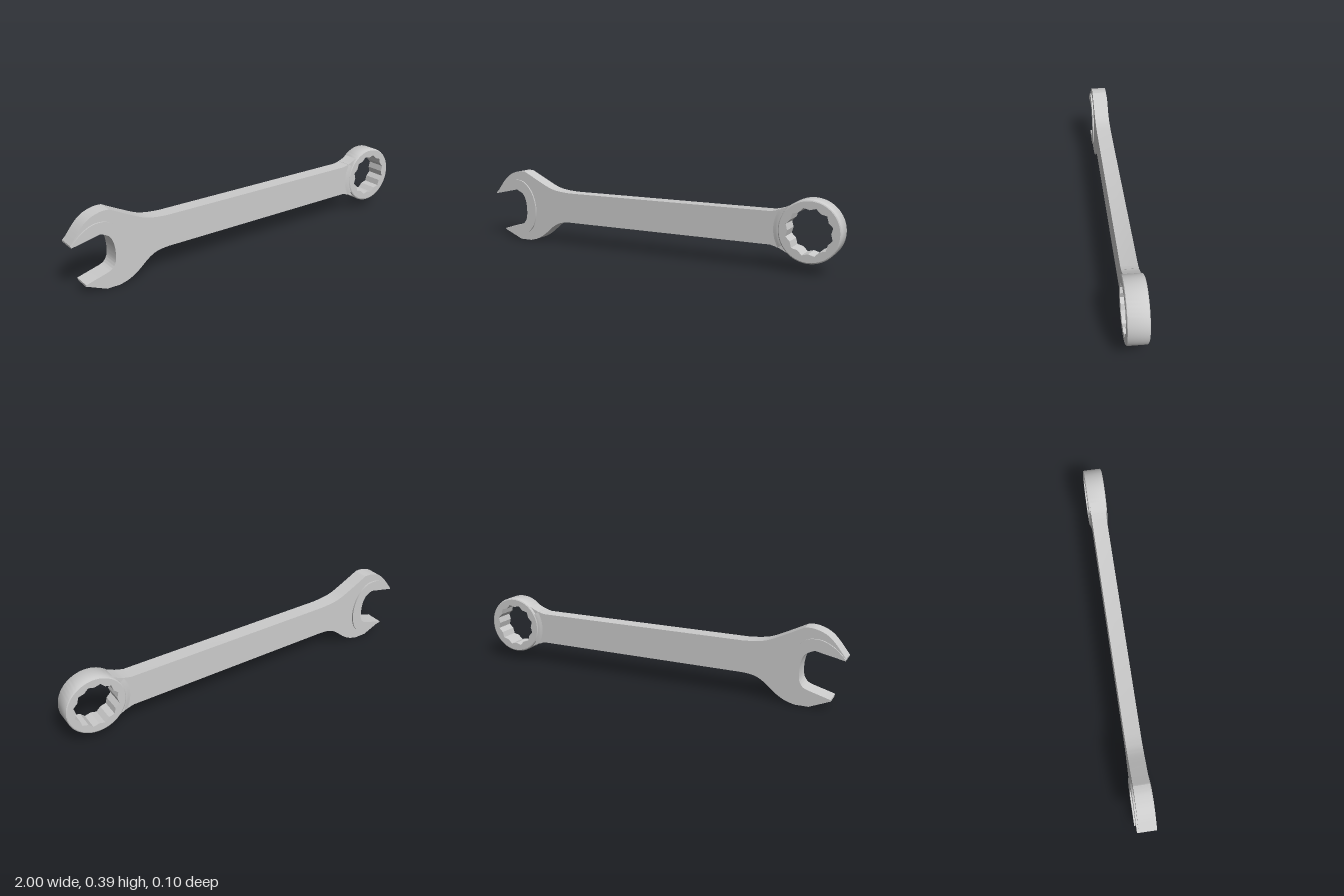
import * as THREE from 'three';
import { toCreasedNormals } from 'three/addons/utils/BufferGeometryUtils.js';

const MID = 0.205;               // height of the long axis
const RING = { x: 0.845, y: MID };
const material = new THREE.MeshStandardMaterial({ color: 0xcccccc, side: THREE.DoubleSide });
const pts = (list) => list.map(([x, y]) => new THREE.Vector2(x, y));

function addMesh(group, name, geometry, crease = 0.45) {
  const mesh = new THREE.Mesh(toCreasedNormals(geometry, crease), material);
  mesh.name = name;
  group.add(mesh);
  return mesh;
}

// Flat plate centred on z = 0
function plate(shape, half) {
  const g = new THREE.ExtrudeGeometry(shape, { depth: half * 2, bevelEnabled: false, curveSegments: 6 });
  return g.translate(0, 0, -half);
}

// Jaw opening, from the lower tip round to the upper tip
function addMouth(shape) {
  shape.lineTo(-0.83, 0.087);
  shape.splineThru(pts([[-0.807, 0.1], [-0.79, 0.13], [-0.787, 0.18], [-0.795, 0.23], [-0.815, 0.265], [-0.855, 0.286]]));
  shape.lineTo(-1, 0.255);
}

// Sweeps a closed (radius, z) profile about z; radius may depend on the angle
function sweep(profile, from, to, steps) {
  const position = [], index = [], n = profile.length;
  for (let i = 0; i <= steps; i++) {
    const a = from + (to - from) * i / steps;
    for (const [r, z] of profile) {
      const radius = typeof r === 'function' ? r(a) : r;
      position.push(radius * Math.cos(a), radius * Math.sin(a), z);
    }
  }
  for (let i = 0; i < steps; i++) {
    for (let j = 0; j < n; j++) {
      const k = (j + 1) % n;
      const a = i * n + j, b = (i + 1) * n + j, c = (i + 1) * n + k, d = i * n + k;
      index.push(a, b, c, a, c, d);
    }
  }
  const g = new THREE.BufferGeometry();
  g.setAttribute('position', new THREE.Float32BufferAttribute(position, 3));
  g.setIndex(index);
  g.computeVertexNormals();
  return g.translate(RING.x, RING.y, 0);
}

// Twelve-point socket: union of two hexagons
function socketRadius(a) {
  const step = Math.PI / 6;
  const t = (((a - step / 2) % step) + step) % step;
  return 0.101 / Math.cos(step - Math.min(t, step - t));
}

export function createModel() {
  const group = new THREE.Group();
  group.name = 'combinationWrench';

  // Handle with the open jaw and the flared neck
  const body = new THREE.Shape();
  body.moveTo(-1, 0.255);
  body.lineTo(-1, 0.264);
  body.splineThru(pts([[-0.945, 0.334], [-0.9, 0.371], [-0.845, 0.39], [-0.802, 0.391]]));
  body.splineThru(pts([[-0.71, 0.345], [-0.63, 0.308], [-0.57, 0.294], [-0.5, 0.288]]));
  body.lineTo(0.655, 0.288);
  body.splineThru(pts([[0.7, 0.3], [0.748, 0.322]]));
  body.absarc(RING.x, RING.y, 0.13, Math.PI * 0.74, Math.PI * 1.26, false);
  body.lineTo(0.748, 0.088);
  body.splineThru(pts([[0.7, 0.112], [0.655, 0.125]]));
  body.lineTo(-0.5, 0.125);
  body.splineThru(pts([[-0.56, 0.118], [-0.61, 0.094], [-0.67, 0.045], [-0.72, 0.015], [-0.77, 0]]));
  body.lineTo(-0.84, 0);
  body.lineTo(-0.945, 0.045);
  body.lineTo(-0.945, 0.055);
  addMouth(body);
  addMesh(group, 'handleAndJaw', plate(body, 0.04));

  // Raised crescent around the mouth, on both faces
  const land = new THREE.Shape();
  land.moveTo(-1, 0.255);
  land.lineTo(-1, 0.262);
  land.splineThru(pts([[-0.95, 0.308], [-0.9, 0.335], [-0.855, 0.342], [-0.81, 0.332], [-0.765, 0.292],
    [-0.737, 0.235], [-0.727, 0.166], [-0.742, 0.095], [-0.775, 0.053], [-0.82, 0.038], [-0.88, 0.04], [-0.945, 0.05]]));
  land.lineTo(-0.945, 0.055);
  addMouth(land);
  addMesh(group, 'jawLand', plate(land, 0.048));

  // Box end with softened outer rims
  const ringProfile = [
    [0.153, -0.042], [0.153, 0.042], [0.151, 0.047], [0.146, 0.05],
    [socketRadius, 0.05], [socketRadius, -0.05], [0.146, -0.05], [0.151, -0.047],
  ];
  addMesh(group, 'boxEnd', sweep(ringProfile, 0, Math.PI * 2, 96));

  // Small blend from the handle faces up to the box end
  const blendProfile = [
    [0.182, -0.039], [0.182, 0.039], [0.166, 0.042], [0.152, 0.047],
    [0.14, 0.045], [0.14, -0.045], [0.152, -0.047], [0.166, -0.042],
  ];
  addMesh(group, 'neckBlend', sweep(blendProfile, Math.PI * 0.83, Math.PI * 1.17, 16), 0.6);

  return group;
}
